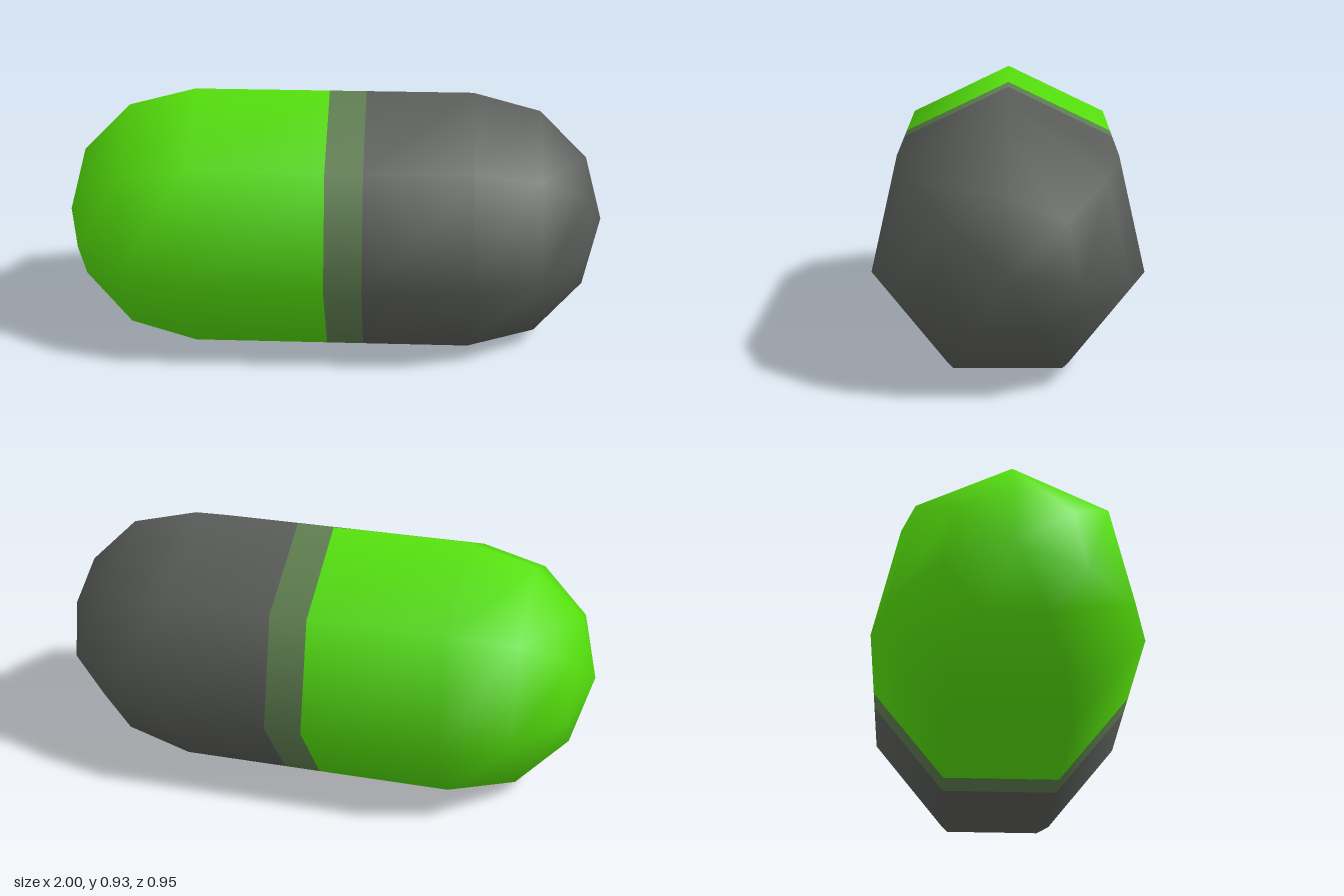
import * as THREE from 'three';

const SIDES = 7;
const RADIUS = 0.4866;
const CENTRE_Y = RADIUS * Math.cos(Math.PI / SIDES); // rests on a flat side

// Rounded end as [distance along the axis, radius]
const CAP = [[0.51, RADIUS], [0.755, 0.421], [0.932, 0.243], [1, 0]];

const material = (name, color) => {
  const m = new THREE.MeshStandardMaterial({ color });
  m.name = name;
  return m;
};

// Turn a profile around x, with one ridge pointing straight up
function turned(name, profile, mat) {
  const points = profile.map(([x, r]) => new THREE.Vector2(r, x));
  const geometry = new THREE.LatheGeometry(points, SIDES);
  const { position, normal } = geometry.attributes;
  // Smooth the tip: its normals follow the axis
  for (let i = 0; i < position.count; i++) {
    if (Math.abs(position.getY(i)) > 0.999) normal.setXYZ(i, 0, Math.sign(position.getY(i)), 0);
  }
  geometry.applyMatrix4(new THREE.Matrix4().makeBasis(
    new THREE.Vector3(0, 0, 1), new THREE.Vector3(1, 0, 0), new THREE.Vector3(0, 1, 0)));
  const mesh = new THREE.Mesh(geometry, mat);
  mesh.name = name;
  mesh.position.y = CENTRE_Y;
  return mesh;
}

export function createModel() {
  const green = material('bright green', 0x55e00c);
  const grey = material('dark grey', 0x5a5d59);
  const mixed = material('grey green', 0x5f7f50);

  const seam = -0.015, bandEnd = 0.12;
  const rightCap = CAP.map(([x, r]) => [-x, r]).reverse();

  const capsule = new THREE.Group();
  capsule.name = 'capsule';
  capsule.add(
    turned('greenHalf', [...rightCap, [seam, RADIUS]], green),
    turned('overlapBand', [[seam, RADIUS], [bandEnd, RADIUS]], mixed),
    turned('greyHalf', [[bandEnd, RADIUS], ...CAP], grey),
  );
  return capsule;
}
